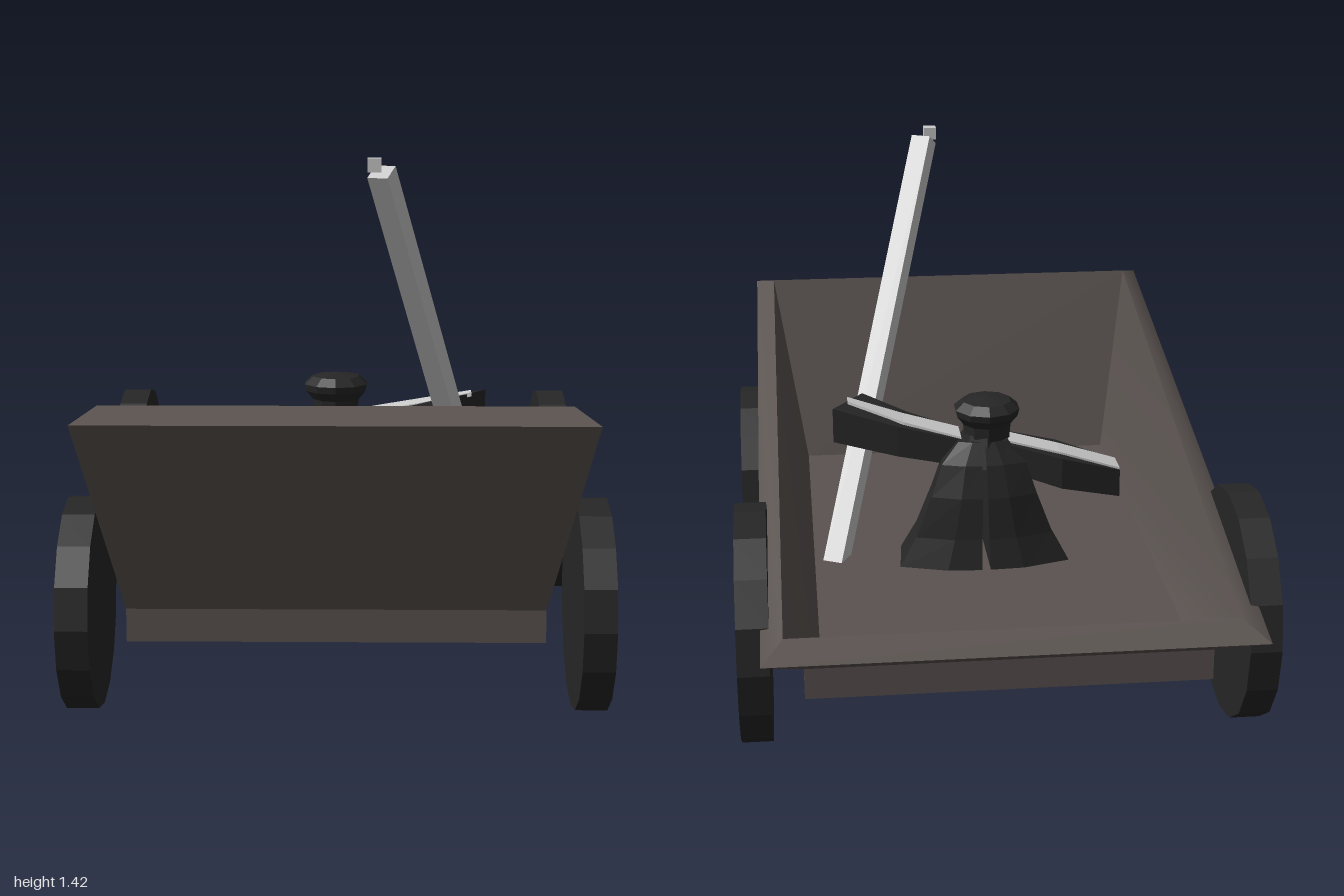
import * as THREE from 'three';

const mat = (color, flatShading = true) =>
  new THREE.MeshStandardMaterial({ color, flatShading });
const WOOD = mat(0x5a5350, false);
const BLACK = mat(0x262626);
const GREY = mat(0xcccccc);

// Skin a stack of equal-length closed rings and cap both ends.
// Every panel owns its corners, so panels stay smooth inside and sharp at their edges.
function loft(rings) {
  const n = rings[0].length;
  const points = [], index = [];
  const panel = corners => {
    const s = points.length;
    points.push(...corners);
    for (let j = 1; j < corners.length - 1; j++) index.push(s, s + j, s + j + 1);
  };
  rings.slice(1).forEach((upper, i) => {
    const lower = rings[i];
    for (let j = 0; j < n; j++) {
      const k = (j + 1) % n;
      panel([lower[j], lower[k], upper[k], upper[j]]);
    }
  });
  panel([...rings[0]].reverse());
  panel(rings[rings.length - 1]);
  const geo = new THREE.BufferGeometry();
  geo.setAttribute('position', new THREE.Float32BufferAttribute(points.flat(), 3));
  geo.setIndex(index);
  geo.computeVertexNormals();
  return geo;
}

function add(parent, name, geometry, material) {
  const mesh = new THREE.Mesh(geometry, material);
  mesh.name = name;
  parent.add(mesh);
  return mesh;
}

// Horizontal rectangle whose height may differ between front and back
const level = (x, zf, zb, yf, yb) => [[x, yf, zf], [x, yb, zb], [-x, yb, zb], [-x, yf, zf]];

// Upright rectangle across an arm pointing along side * x; skew pushes its back edge outward
function section(side, x, y, z, h, d, skew) {
  const r = [[x - skew, y - h / 2, z + d / 2], [x + skew, y - h / 2, z - d / 2],
    [x + skew, y + h / 2, z - d / 2], [x - skew, y + h / 2, z + d / 2]];
  return side > 0 ? r : r.reverse();
}

function makeRider() {
  const rider = new THREE.Group();
  rider.name = 'rider';

  // Robe in two halves, split by a narrow slit; rows are y, x radius, z radius, z centre
  const outline = [[0.05, 1], [0.7, 0.85], [0.95, 0.05], [1, -0.75], [0.45, -0.97], [0.05, -1]];
  const profile = [[0.21, 0.32, 0.24, -0.04], [0.29, 0.245, 0.19, -0.055], [0.38, 0.195, 0.155, -0.07],
    [0.5, 0.15, 0.125, -0.09], [0.59, 0.12, 0.09, -0.1], [0.65, 0.07, 0.06, -0.1]];
  for (const side of [1, -1]) {
    const rings = profile.map(([y, rx, rz, cz]) => {
      const ring = outline.map(([u, v]) => [side * rx * u, y, cz + rz * v]);
      return side > 0 ? ring : ring.reverse();
    });
    add(rider, side > 0 ? 'robeLeft' : 'robeRight', loft(rings), BLACK);
  }

  // Collar, head and shallow hat
  const collar = new THREE.CylinderGeometry(0.065, 0.09, 0.09, 8);
  add(rider, 'collar', collar, BLACK).position.set(-0.01, 0.62, -0.095);
  const hat = new THREE.LatheGeometry([[0, 0.64], [0.066, 0.65], [0.07, 0.69], [0.09, 0.715],
    [0.095, 0.735], [0.07, 0.757], [0, 0.768]].map(p => new THREE.Vector2(...p)), 10);
  add(rider, 'headAndHat', hat, BLACK).position.set(-0.015, 0, -0.095);

  // Wide sleeves with a pale strip along the top; rows are x, y, z, height, depth, skew, strip depth
  const arms = {
    Left: [1, [[0.06, 0.61, -0.08, 0.08, 0.1, 0, 0.09], [0.22, 0.64, -0.04, 0.09, 0.12, 0.02, 0.08],
      [0.375, 0.675, 0.02, 0.1, 0.13, 0.045, 0.04]]],
    Right: [-1, [[-0.06, 0.6, -0.09, 0.08, 0.12, 0, 0.08], [-0.22, 0.56, -0.115, 0.09, 0.16, 0, 0.08],
      [-0.39, 0.515, -0.125, 0.08, 0.09, 0, 0.08]]],
  };
  for (const [name, [side, rows]] of Object.entries(arms)) {
    const sleeve = rows.map(([x, y, z, h, d, skew]) => section(side, x, y, z, h, d, skew));
    add(rider, 'sleeve' + name, loft(sleeve), BLACK);
    const strip = rows.map(([x, y, z, h, , , w]) => section(side, x, y + h / 2, z, 0.012, w, 0));
    add(rider, 'armStrip' + name, loft(strip), GREY);
  }
  return rider;
}

export function createModel() {
  const model = new THREE.Group();
  model.name = 'cart';

  // Open tub: base, flared walls, bevelled sloping rim, inner walls and floor
  add(model, 'tub', loft([
    level(0.528, 0.81, -0.83, 0.225, 0.225),
    level(0.528, 0.81, -0.83, 0.31, 0.31),
    level(0.634, 1, -1, 0.815, 0.405),
    level(0.578, 0.895, -0.9, 0.845, 0.432),
    level(0.484, 0.715, -0.77, 0.295, 0.295),
  ]), WOOD);

  // Wheels, larger at the back, with pale outer discs
  const wheels = [['front', 0.63, 0.277], ['rear', -0.56, 0.316]];
  for (const [name, z, r] of wheels) {
    for (const side of [1, -1]) {
      const geo = new THREE.CylinderGeometry(r, r, 0.083, 16).rotateZ(-side * Math.PI / 2);
      const wheel = add(model, name + (side > 0 ? 'LeftWheel' : 'RightWheel'), geo, [BLACK, GREY, BLACK]);
      wheel.position.set(side * 0.654, r + 0.002, z);
    }
  }

  // Steering pole leaning forward through the floor, with a small tip block
  const foot = new THREE.Vector3(0.446, 0.2, -0.165);
  const top = new THREE.Vector3(0.112, 1.385, 0.495);
  const pole = add(model, 'pole', new THREE.BoxGeometry(0.058, 0.056, foot.distanceTo(top)), GREY);
  pole.position.copy(foot).lerp(top, 0.5);
  pole.lookAt(top);
  add(model, 'poleTip', new THREE.BoxGeometry(0.036, 0.036, 0.036), GREY).position.set(0.094, 1.403, 0.5);

  model.add(makeRider());
  return model;
}
